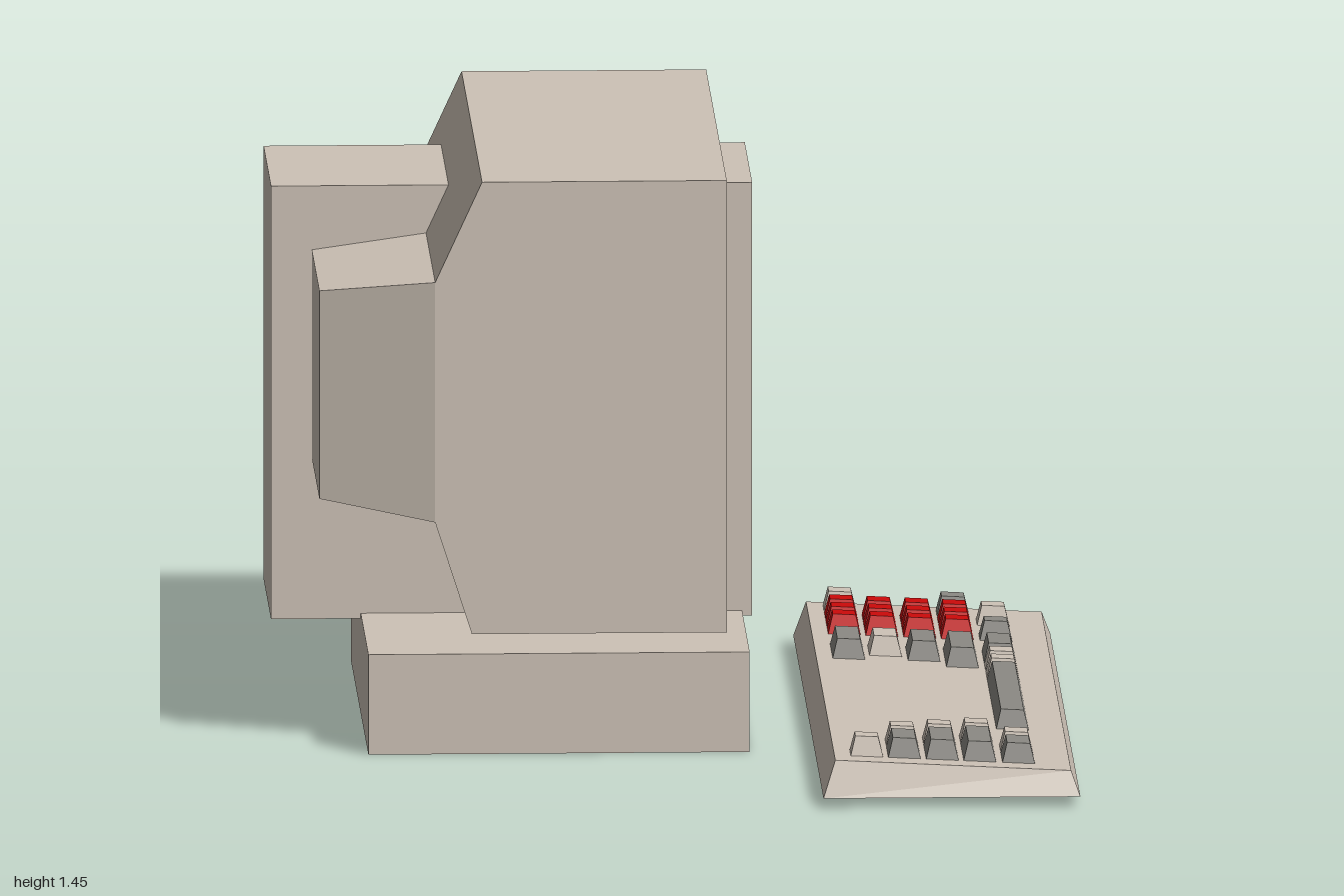
import * as THREE from 'three';

const mat = (name, color) => {
  const m = new THREE.MeshStandardMaterial({ color });
  m.name = name;
  return m;
};

// Closed, flat-faced solid through a series of four-cornered rings
function loft(rings) {
  const pos = [];
  const quad = (a, b, c, d) => [a, b, c, a, c, d].forEach(p => pos.push(...p));
  for (let k = 0; k < rings.length - 1; k++) {
    const a = rings[k], b = rings[k + 1];
    for (let i = 0; i < 4; i++) {
      const j = (i + 1) % 4;
      quad(a[i], a[j], b[j], b[i]);
    }
  }
  quad(...[...rings[0]].reverse());
  quad(...rings[rings.length - 1]);
  const g = new THREE.BufferGeometry();
  g.setAttribute('position', new THREE.Float32BufferAttribute(pos, 3));
  g.computeVertexNormals();
  return g;
}

// Upright ring facing +x; xTop lets the upper edge lean
const ringX = (x, y0, y1, z0, z1, xTop = x) =>
  [[x, y0, z1], [x, y0, z0], [xTop, y1, z0], [xTop, y1, z1]];
// Level ring facing +y; y is a function of x
const ringY = (y, x0, x1, z0, z1) =>
  [[x0, y(x0), z1], [x1, y(x1), z1], [x1, y(x1), z0], [x0, y(x0), z0]];

const boxGeo = (x0, x1, y0, y1, z0, z1) =>
  new THREE.BoxGeometry(x1 - x0, y1 - y0, z1 - z0)
    .translate((x0 + x1) / 2, (y0 + y1) / 2, (z0 + z1) / 2);

// Flat plate with rectangular holes, each [u0, u1, v0, v1]
function plate([u0, u1, v0, v1], holes, depth) {
  const trace = (p, [a, b, c, d]) => p.moveTo(a, c).lineTo(b, c).lineTo(b, d).lineTo(a, d).closePath();
  const s = trace(new THREE.Shape(), [u0, u1, v0, v1]);
  holes.forEach(h => s.holes.push(trace(new THREE.Path(), h)));
  return new THREE.ExtrudeGeometry(s, { depth, bevelEnabled: false });
}

export function createModel() {
  const beige = mat('beige', 0xcdc2b6);
  const grey = mat('grey', 0x8b8983);
  const red = mat('red', 0xcc0a0a);
  const black = mat('black', 0x0d0d0d);
  const model = new THREE.Group();
  model.name = 'desktopComputer';
  const add = (name, geo, m = beige, parent = model) => {
    const mesh = new THREE.Mesh(geo, m);
    mesh.name = name;
    parent.add(mesh);
    return mesh;
  };

  // Monitor housing with tapered back and bevelled screen recess
  add('monitorHousing', loft([
    ringX(-0.87, 0.64, 1.16, -0.85, 0.295),
    ringX(-0.59, 0.60, 1.20, -0.96, 0.40),
    ringX(-0.50, 0.32, 1.45, -0.96, 0.40, -0.475),
    ringX(0.125, 0.32, 1.45, -0.96, 0.40),
    ringX(0.125, 0.475, 1.30, -0.77, 0.22),
    ringX(0.045, 0.505, 1.27, -0.735, 0.187),
  ]));
  add('screen', boxGeo(0.043, 0.049, 0.505, 1.27, -0.735, 0.187), black);

  // Swivel stand
  add('swivelStand', new THREE.CylinderGeometry(0.26, 0.26, 0.09, 48).translate(-0.22, 0.285, -0.275));

  // Tower with a grooved door and a drive slot
  add('tower', loft([
    ringX(-0.97, 0.237, 1.32, -0.702, -0.208),
    ringX(0.21, 0.237, 1.32, -0.702, -0.208),
    ringX(0.21, 0.265, 1.287, -0.676, -0.237),
    ringX(0.19, 0.265, 1.287, -0.676, -0.237),
    ringX(0.19, 0.288, 1.265, -0.646, -0.26),
    ringX(0.21, 0.288, 1.265, -0.646, -0.26),
    ringX(0.21, 1.017, 1.05, -0.542, -0.268),
    ringX(0.19, 1.017, 1.05, -0.542, -0.268),
  ]));

  // Base unit: body, slotted front and a side panel set in a frame
  const base = new THREE.Group();
  base.name = 'baseUnit';
  model.add(base);
  add('baseBody', boxGeo(-0.75, 0.165, 0, 0.25, -0.835, 0.30), beige, base);
  const vents = [0, 1, 2, 3].map(i => [0.42, 0.705, 0.19 - i * 0.052, 0.223 - i * 0.052]);
  const front = plate([-0.30, 0.85, 0, 0.25], vents, 0.02);
  add('baseFront', front.rotateY(Math.PI / 2).translate(0.165, 0, 0), beige, base);
  add('baseSideFrame', plate([-0.75, 0.165, 0, 0.25], [[-0.735, -0.47, 0.03, 0.22]], 0.015)
    .translate(0, 0, -0.85), beige, base);
  add('baseSidePanel', boxGeo(-0.717, -0.488, 0.048, 0.202, -0.848, -0.83), beige, base);

  // Keyboard case
  const keyboard = new THREE.Group();
  keyboard.name = 'keyboard';
  model.add(keyboard);
  const deck = x => 0.115 - 0.03 * (x - 0.37) / 0.578;
  add('keyboardCase', loft([
    ringY(() => 0.025, 0.34, 0.97, -1, 1),
    ringY(deck, 0.37, 0.948, -0.972, 0.972),
  ]), beige, keyboard);

  // Tapered keys: row, then start and end along z
  const rows = [0.45, 0.542, 0.635, 0.727, 0.822];
  const addKey = (name, m, row, z0, z1) => {
    const x = rows[row], w = 0.041, t = 0.013;
    add(name, loft([
      ringY(v => deck(v) - 0.005, x - w, x + w, z0, z1),
      ringY(v => deck(v) + 0.048, x - w + t, x + w - t, z0 + t, z1 - t),
    ]), m, keyboard);
  };
  for (let r = 0; r < 4; r++)
    for (const z of [-0.85, -0.758, -0.666]) addKey('numberKey', red, r, z, z + 0.082);
  [[0, -0.945, -0.863], [4, -0.85, -0.77], [1, -0.465, -0.34], [4, -0.30, -0.215],
    [4, -0.205, -0.125], [0, 0.83, 0.91], [1, 0.68, 0.762], [2, 0.64, 0.72],
    [3, 0.60, 0.685], [4, 0.69, 0.775]].forEach(k => addKey('lightKey', beige, ...k));
  [[3, -0.945, -0.863], [4, -0.666, -0.584], [0, -0.465, -0.285], [2, -0.465, -0.30],
    [3, -0.465, -0.24], [4, -0.465, -0.31], [1, 0.77, 0.91], [2, 0.73, 0.91],
    [3, 0.695, 0.91], [4, 0.785, 0.91]].forEach(k => addKey('greyKey', grey, ...k));
  addKey('spaceBar', grey, 4, -0.115, 0.50);

  return model;
}
